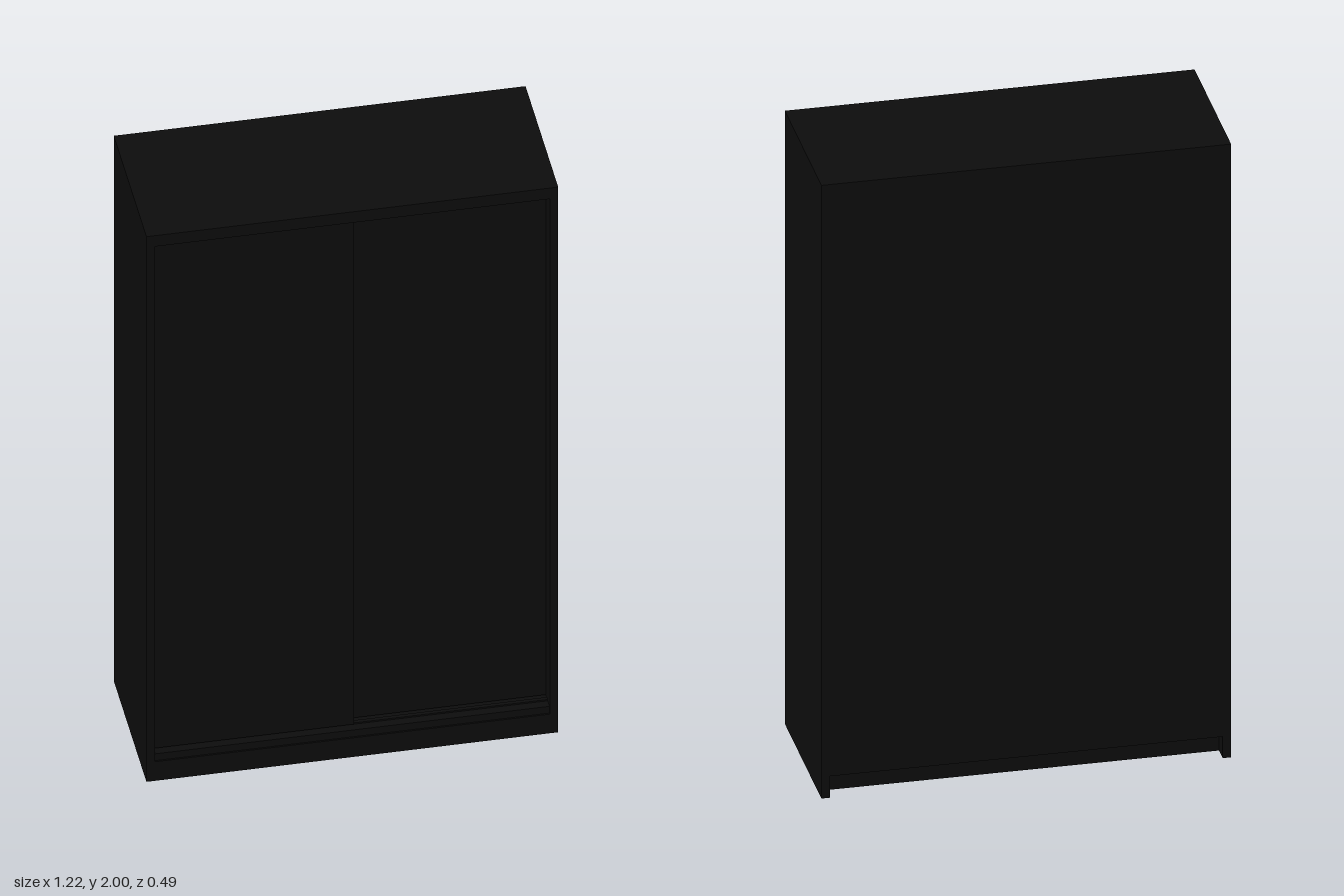
import * as THREE from 'three';

export function createModel() {
  const root = new THREE.Group();
  root.name = 'wardrobe';
  const black = new THREE.MeshStandardMaterial({ color: 0x0d0d0d });

  // Board given by its min and max corners
  function board(name, [x0, y0, z0], [x1, y1, z1]) {
    const mesh = new THREE.Mesh(new THREE.BoxGeometry(x1 - x0, y1 - y0, z1 - z0), black);
    mesh.position.set((x0 + x1) / 2, (y0 + y1) / 2, (z0 + z1) / 2);
    mesh.name = name;
    root.add(mesh);
  }

  const W = 0.61, D = 0.245, H = 2;
  const T = 0.025;            // board thickness
  const inner = W - T;
  const plinth = 0.07;

  // Carcass
  board('rightSidePanel', [-W, 0, -D], [-inner, H, D]);
  board('leftSidePanel', [inner, 0, -D], [W, H, D]);
  board('topPanel', [-inner, H - 0.04, -D], [inner, H, D]);
  board('bottomPanel', [-inner, plinth, -D], [inner, plinth + T, D - 0.005]);
  board('backPanel', [-inner, plinth, -D], [inner, H - 0.04, -D + 0.01]);
  board('middlePartition', [-T / 2, plinth + T, -D + 0.01], [T / 2, H - 0.04, D - 0.1]);

  // Base: flush front rail, set-back rear rail and two cross braces
  board('frontPlinth', [-inner, 0, D - T], [inner, plinth, D]);
  board('rearPlinth', [-inner, 0, -D + 0.05], [inner, plinth, -D + 0.05 + T]);
  for (const x of [-0.2, 0.2]) {
    board('plinthBrace', [x - 0.01, 0, -D + 0.05 + T], [x + 0.01, plinth, D - T]);
  }

  // Sliding doors on two tracks, the right one in front
  const doorBottom = plinth + T + 0.005, doorTop = H - 0.05;
  board('rightSlidingDoor', [-inner, doorBottom, D - 0.05], [0.01, doorTop, D - 0.025]);
  board('leftSlidingDoor', [-0.02, doorBottom, D - 0.08], [inner, doorTop, D - 0.055]);

  // Door tracks above and below
  for (const z of [D - 0.0375, D - 0.0675]) {
    board('topTrack', [-inner, doorTop, z - 0.006], [inner, H - 0.04, z + 0.006]);
    board('bottomTrack', [-inner, plinth + T, z - 0.006], [inner, doorBottom, z + 0.006]);
  }
  return root;
}
